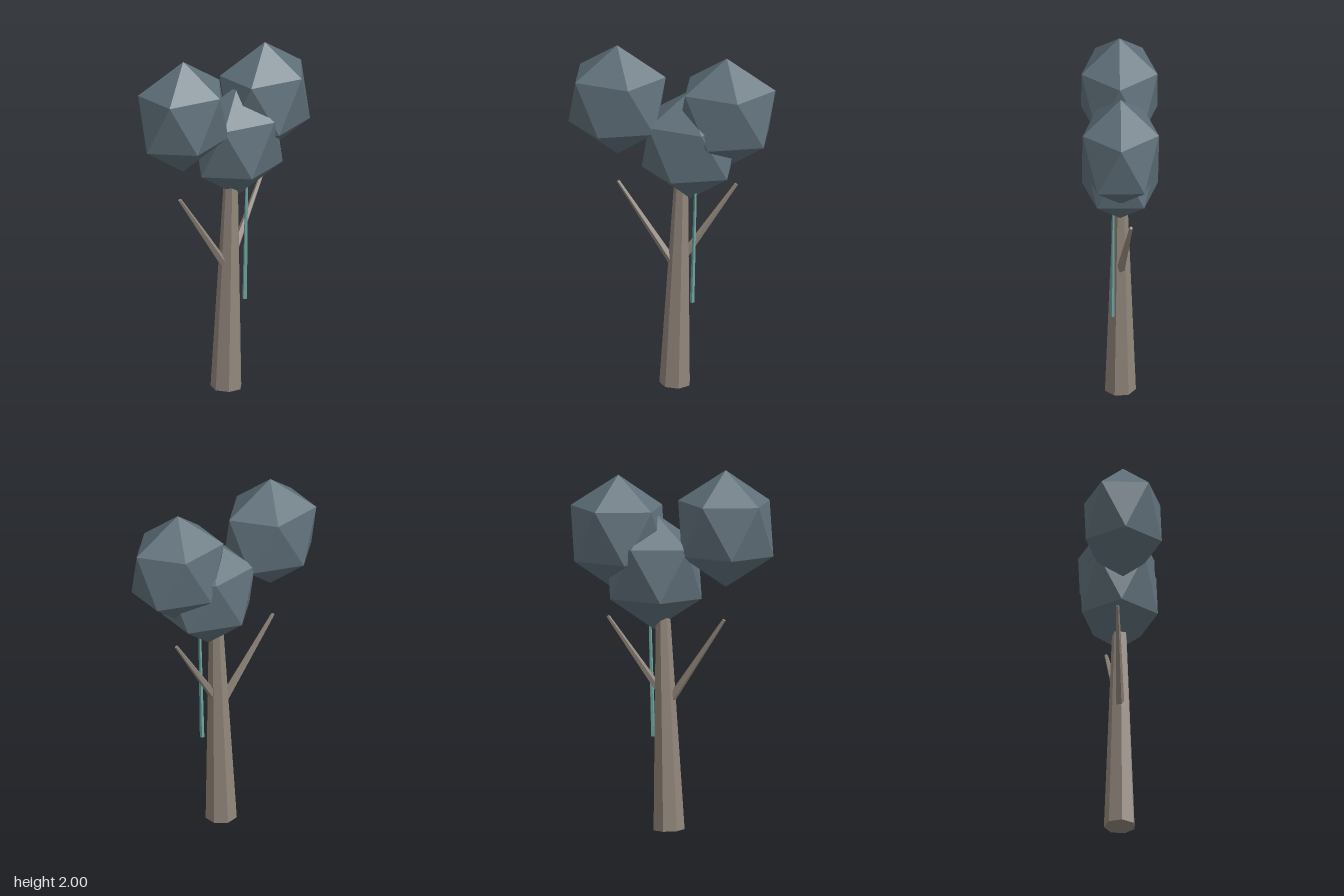
import * as THREE from 'three';

const material = (color) => new THREE.MeshStandardMaterial({ color, flatShading: true });

// Tapered prism running from point a to point b
function limb(name, a, b, rStart, rEnd, sides, mat, twist = 0) {
  const start = new THREE.Vector3(...a);
  const end = new THREE.Vector3(...b);
  const axis = end.clone().sub(start);
  const geometry = new THREE.CylinderGeometry(rEnd, rStart, axis.length(), sides, 1, false, twist);
  const mesh = new THREE.Mesh(geometry, mat);
  mesh.quaternion.setFromUnitVectors(new THREE.Vector3(0, 1, 0), axis.normalize());
  mesh.position.copy(start).add(end).multiplyScalar(0.5);
  mesh.name = name;
  return mesh;
}

// Icosahedron standing on one corner, stretched upwards
function leafClump(name, x, y, mat) {
  const geometry = new THREE.IcosahedronGeometry(1, 0);
  geometry.rotateZ(-Math.atan(2 / (1 + Math.sqrt(5))));
  geometry.scale(0.2975, 0.3225, 0.2435);
  const mesh = new THREE.Mesh(geometry, mat);
  mesh.position.set(x, y, 0);
  mesh.name = name;
  return mesh;
}

export function createModel() {
  const group = new THREE.Group();
  group.name = 'tree';
  const bark = material(0x91867b);
  const leaves = material(0x5f707a);
  const vineGreen = material(0x6fa5a0);

  // Leaning trunk and its two bare branches
  group.add(
    limb('trunk', [0.018, 0.003, 0], [0.053, 1.25, 0], 0.087, 0.038, 7, bark, 0.32),
    limb('rightBranch', [0.01, 0.715, 0], [-0.298, 1.178, -0.03], 0.025, 0.01, 5, bark),
    limb('leftBranch', [0.05, 0.74, 0], [0.345, 1.178, -0.057], 0.025, 0.01, 5, bark)
  );

  // Foliage
  group.add(
    leafClump('rightLeaves', -0.3, 1.6775, leaves),
    leafClump('leftLeaves', 0.3, 1.6275, leaves),
    leafClump('middleLeaves', 0.1, 1.4275, leaves)
  );

  // Hanging vine
  group.add(limb('vine', [0.115, 0.505, 0.041], [0.136, 1.3, 0.037], 0.013, 0.007, 5, vineGreen));

  return group;
}
